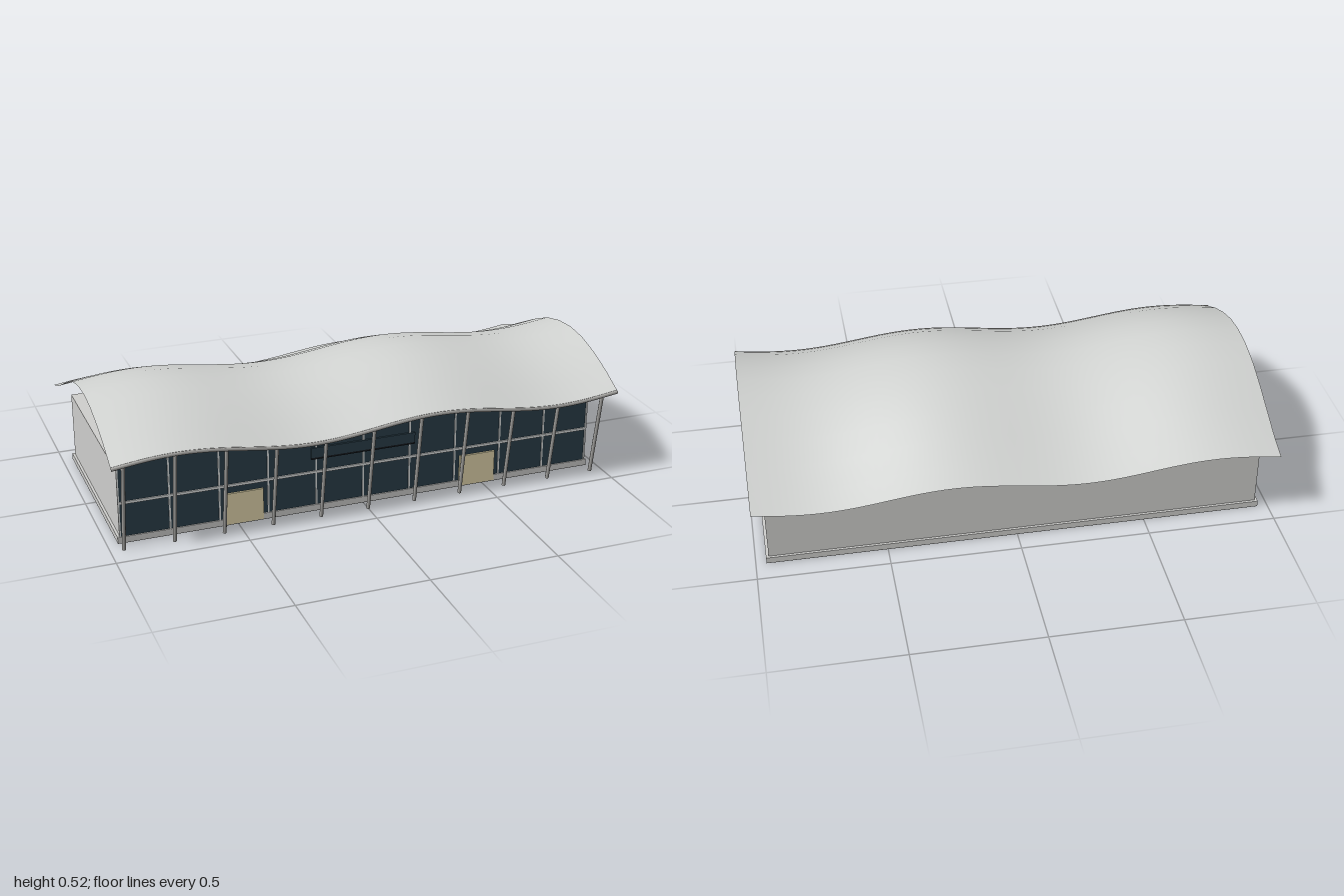
import * as THREE from 'three';

const mat = (name, color, side = THREE.FrontSide) => {
  const m = new THREE.MeshStandardMaterial({ color, side });
  m.name = name;
  return m;
};

// Roof ridge profile, from z = -0.5 to z = 0.5 in steps of 0.1
const PROFILE = [0.297, 0.332, 0.380, 0.427, 0.467, 0.490, 0.497, 0.486, 0.458, 0.418, 0.368];
const wave = (x) => 0.0225 * Math.sin(2 * Math.PI * x);
function roofY(x, z) {
  const t = THREE.MathUtils.clamp((z + 0.5) * 10, 0, 10);
  const i = Math.min(9, Math.floor(t));
  return THREE.MathUtils.lerp(PROFILE[i], PROFILE[i + 1], t - i) + wave(x);
}

export function createModel() {
  const group = new THREE.Group();
  const roofMat = mat('roof metal', 0xd4d6d4, THREE.DoubleSide);
  const wallMat = mat('wall concrete', 0xd0d0ce);
  const baseMat = mat('base underside', 0x5c5c59);
  const glassMat = mat('dark glass', 0x2b3f4a, THREE.DoubleSide);
  const steelMat = mat('column steel', 0xa9a8a5);
  const railMat = mat('pale frame', 0xe0e3e3);
  const doorMat = mat('door', 0xe6dab0);
  const slotMat = mat('dark strip', 0x14181c);

  const add = (name, geometry, material) => {
    const mesh = new THREE.Mesh(geometry, material);
    mesh.name = name;
    group.add(mesh);
    return mesh;
  };
  // Box given by its limits on each axis
  const box = (name, material, x0, x1, y0, y1, z0, z1) => {
    const m = add(name, new THREE.BoxGeometry(x1 - x0, y1 - y0, z1 - z0), material);
    m.position.set((x0 + x1) / 2, (y0 + y1) / 2, (z0 + z1) / 2);
  };
  // Round bar between two points
  const bar = (name, material, a, b, radius) => {
    const dir = b.clone().sub(a);
    const m = add(name, new THREE.CylinderGeometry(radius, radius, dir.length(), 8), material);
    m.position.copy(a).add(b).multiplyScalar(0.5);
    m.quaternion.setFromUnitVectors(new THREE.Vector3(0, 1, 0), dir.normalize());
  };

  // Wavy roof sheet
  const roof = new THREE.PlaneGeometry(2, 1, 64, 10);
  roof.rotateX(-Math.PI / 2);
  const p = roof.attributes.position;
  for (let i = 0; i < p.count; i++) p.setY(i, roofY(p.getX(i), p.getZ(i)));
  roof.computeVertexNormals();
  add('roof', roof, roofMat);

  // Trim tube along the front eave
  const eave = [];
  for (let i = 0; i <= 32; i++) {
    const x = -1 + i / 16;
    eave.push(new THREE.Vector3(x, 0.366 + wave(x), 0.495));
  }
  add('eaveTrim', new THREE.TubeGeometry(new THREE.CatmullRomCurve3(eave), 64, 0.007, 6), steelMat);

  // Base slab and hall
  box('base', wallMat, -0.96, 0.96, 0.001, 0.025, -0.415, 0.36);
  box('baseUnderside', baseMat, -0.96, 0.96, 0, 0.001, -0.415, 0.36);
  box('hall', wallMat, -0.95, 0.95, 0.025, 0.285, -0.405, 0.352);

  // Glass front reaching up to the roof
  const glass = new THREE.Shape();
  glass.moveTo(-0.95, 0.025);
  glass.lineTo(0.95, 0.025);
  for (let i = 0; i <= 48; i++) {
    const x = 0.95 - (1.9 * i) / 48;
    glass.lineTo(x, roofY(x, 0.355) - 0.002);
  }
  add('glassFront', new THREE.ShapeGeometry(glass), glassMat).position.z = 0.355;

  // Mullions and leaning columns
  for (let i = -5; i <= 5; i++) {
    const x = i * 0.19;
    box('mullion', railMat, x - 0.003, x + 0.003, 0.025, roofY(x, 0.357) - 0.004, 0.353, 0.359);
    bar('column', steelMat, new THREE.Vector3(x, 0.001, 0.411),
      new THREE.Vector3(x, roofY(x, 0.472) - 0.004, 0.472), 0.0075);
  }
  box('crossRail', railMat, -0.95, 0.95, 0.156, 0.166, 0.354, 0.36);

  // Doors
  for (const s of [-1, 1]) {
    const x = s * 0.475;
    box('door', doorMat, x - 0.074, x + 0.074, 0.004, 0.13, 0.354, 0.363);
  }

  // Glazed panel over the middle with a dark lower edge
  box('centrePanel', glassMat, -0.21, 0.21, 0.222, 0.262, 0.354, 0.362);
  box('panelEdge', slotMat, -0.21, 0.21, 0.215, 0.222, 0.354, 0.362);

  return group;
}
